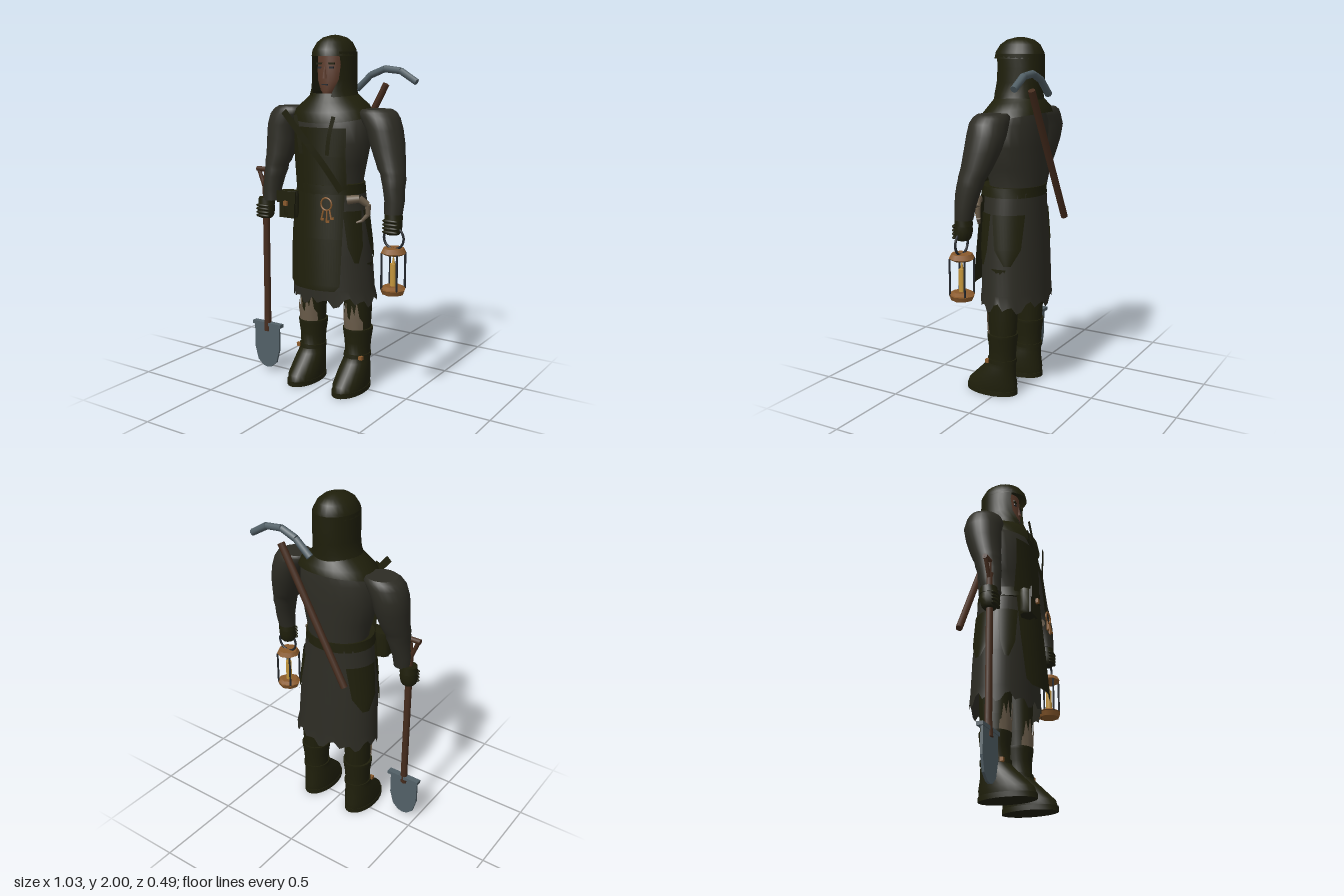
import * as THREE from 'three';

const mat = (name, color, side = THREE.FrontSide) => {
  const m = new THREE.MeshStandardMaterial({ color, side });
  m.name = name;
  return m;
};

// Stacks elliptical rings [y, cx, cz, rx, rz, startAngle, endAngle] from bottom to top.
// Angle 0 is the front; rings without angles are closed. jag(ring, j) shifts a vertex in y.
function loft(rings, { n = 24, cap = true, jag = () => 0, tilt = () => 0 } = {}) {
  const open = rings[0].length > 5, cols = open ? n + 1 : n, pos = [], idx = [];
  rings.forEach(([y, cx, cz, rx, rz, s = 0, e = Math.PI * 2], i) => {
    for (let j = 0; j < cols; j++) {
      const t = s + (e - s) * j / n;
      pos.push(cx + rx * Math.sin(t), y + jag(i, j) + tilt(i) * Math.cos(t), cz + rz * Math.cos(t));
    }
  });
  for (let i = 0; i < rings.length - 1; i++) for (let j = 0; j < n; j++) {
    const k = (j + 1) % cols, a = i * cols + j, b = i * cols + k;
    idx.push(a, b, a + cols, b, b + cols, a + cols);
  }
  if (cap && !open) for (const top of [false, true]) {
    const i = top ? rings.length - 1 : 0, base = pos.length / 3;
    for (let j = 0; j < n; j++) pos.push(...pos.slice((i * n + j) * 3, (i * n + j) * 3 + 3));
    pos.push(rings[i][1], rings[i][0], rings[i][2]);
    for (let j = 0; j < n; j++) {
      const a = base + j, b = base + (j + 1) % n;
      idx.push(base + n, ...(top ? [a, b] : [b, a]));
    }
  }
  return mesh3(pos, idx);
}

function mesh3(pos, idx) {
  const g = new THREE.BufferGeometry();
  g.setAttribute('position', new THREE.Float32BufferAttribute(pos, 3));
  g.setIndex(idx);
  g.computeVertexNormals();
  return g;
}

// Flat strap that follows a few points, widened across the front plane.
function ribbon(points, width) {
  const curve = new THREE.CatmullRomCurve3(points.map(p => new THREE.Vector3(...p)));
  const pos = [], idx = [], n = 10;
  for (let i = 0; i <= n; i++) {
    const p = curve.getPoint(i / n), t = curve.getTangent(i / n);
    const d = new THREE.Vector3(-t.y, t.x, 0).setLength(width / 2);
    pos.push(p.x + d.x, p.y + d.y, p.z, p.x - d.x, p.y - d.y, p.z);
    if (i < n) idx.push(2 * i, 2 * i + 1, 2 * i + 2, 2 * i + 1, 2 * i + 3, 2 * i + 2);
  }
  return mesh3(pos, idx);
}

// Straight round bar between two points.
function bar(a, b, r, sides = 8, r2 = r) {
  const A = new THREE.Vector3(...a), B = new THREE.Vector3(...b), d = B.clone().sub(A);
  const g = new THREE.CylinderGeometry(r2, r, d.length(), sides);
  g.applyQuaternion(new THREE.Quaternion().setFromUnitVectors(new THREE.Vector3(0, 1, 0), d.normalize()));
  return g.translate(...A.add(B).multiplyScalar(0.5).toArray());
}
const box = (w, h, d, x, y, z) => new THREE.BoxGeometry(w, h, d).translate(x, y, z);
const ball = (rx, ry, rz, x, y, z) => new THREE.SphereGeometry(1, 16, 12).scale(rx, ry, rz).translate(x, y, z);

export function createModel() {
  const root = new THREE.Group();
  const D = THREE.DoubleSide;
  const olive = mat('dark olive leather', 0x1f1f0b, D), grey = mat('grey wool', 0x2d2c24, D);
  const wood = mat('wood', 0x462c1d), steel = mat('steel', 0x526067), iron = mat('dark iron', 0x25292e);
  const brass = mat('brass', 0x8a5a2c), skin = mat('skin', 0x5c3b2b);
  const linen = mat('worn linen', 0x6a5c4a, D), wax = mat('candle wax', 0xc4963c);
  const add = (name, geo, m, parent = root) => {
    const mesh = new THREE.Mesh(geo, m);
    mesh.name = name;
    parent.add(mesh);
    return mesh;
  };

  // Tunic body and ragged skirt
  add('torso', loft([[1.1, 0, -.015, .19, .155], [1.2, 0, -.02, .18, .15], [1.3, 0, -.015, .205, .16],
    [1.42, 0, -.01, .235, .163], [1.54, 0, -.02, .23, .155], [1.62, 0, -.03, .17, .13]]), grey);
  const fray = [0, .03, -.02, .015, .04, -.01, .02];
  add('skirt', loft([[.52, .01, -.023, .262, .185], [.6, .005, -.02, .252, .182], [.8, 0, -.015, .243, .178],
    [1.0, 0, -.01, .222, .17], [1.17, 0, -.01, .195, .165]],
  { n: 48, cap: false, jag: (i, j) => i === 0 ? fray[j * 3 % 7] : 0 }), grey);
  add('belt', loft([[1.14, 0, 0, .205, .178], [1.195, 0, 0, .198, .176]]), olive);

  // Apron and straps
  add('apron', loft([[.61, .01, -.02, .27, .235, -.5, .5], [.64, .01, -.02, .27, .235, -.66, .62],
    [.9, 0, -.02, .25, .218, -.75, .72], [1.145, 0, -.01, .215, .187, -.85, .85]]), olive);
  add('apronBib', loft([[1.17, 0, 0, .205, .172, -.95, .95], [1.35, 0, 0, .24, .164, -.78, .78],
    [1.505, 0, 0, .25, .16, -.75, .75]]), olive);
  add('chestStrap', ribbon([[-.18, 1.59, .2], [-.06, 1.45, .19], [.06, 1.32, .185], [.17, 1.17, .165]], .04), olive);
  for (const s of [-1, 1])
    add('bibStrap', ribbon([[s * .085, 1.36, .175], [s * .1, 1.47, .175], [s * .125, 1.57, .17]], .025), olive);

  // Cape collar, hood and head
  add('capeCollar', loft([[1.565, 0, -.015, .235, .19], [1.61, 0, -.015, .215, .18], [1.65, 0, -.02, .165, .15],
    [1.69, 0, -.03, .118, .125]], { n: 32, cap: false, tilt: i => [-.035, -.025, -.015, -.005][i] }), olive);
  const T = Math.PI * 2;
  add('hoodSides', loft([[1.64, 0, -.03, .15, .14, .35, T - .35], [1.7, 0, -.03, .125, .137, .55, T - .55],
    [1.76, 0, -.035, .12, .14, .82, T - .82], [1.84, 0, -.035, .119, .142, .92, T - .92],
    [1.91, 0, -.035, .117, .142, .85, T - .85]]), olive);
  add('hoodTop', loft([[1.885, 0, -.033, .119, .143], [1.92, 0, -.035, .113, .138], [1.96, 0, -.038, .092, .114],
    [1.985, 0, -.04, .062, .078], [1.997, 0, -.04, .025, .03], [2, 0, -.04, .002, .002]], { cap: false }), olive);
  add('neck', bar([0, 1.58, -.02], [0, 1.73, -.02], .06, 14), skin);
  add('face', loft([[1.675, 0, .025, .022, .035], [1.7, 0, .01, .05, .057], [1.75, 0, -.01, .078, .077],
    [1.81, 0, -.02, .087, .086], [1.9, 0, -.025, .085, .085]]), skin);
  add('nose', bar([0, 1.765, .066], [0, 1.83, .062], .015, 6, .005), skin);
  add('mouth', box(.04, .006, .006, 0, 1.732, .064), iron);
  for (const s of [-1, 1]) {
    add('brow', box(.044, .011, .008, s * .037, 1.845, .057), olive);
    add('eye', box(.03, .011, .008, s * .036, 1.824, .057), iron);
  }

  for (const s of [-1, 1]) {
    const side = new THREE.Group();
    side.name = s > 0 ? 'leftLimbs' : 'rightLimbs';
    root.add(side);
    const L = (rings, o, dx = () => 0) => loft(rings.map(([y, x, ...r]) => [y, (x - dx(y)) * s, ...r]), o);

    // Sleeve with folds; the right forearm is carried closer to the body
    const bend = y => s > 0 ? 0 : Math.min(.06, Math.max(0, (1.5 - y) * .22));
    add('sleeve', L([[1.06, .435, .06, .05, .05], [1.13, .436, .05, .054, .058], [1.2, .425, .04, .058, .068],
      [1.24, .418, .03, .066, .073], [1.27, .41, .025, .067, .074], [1.29, .4, .02, .075, .08],
      [1.33, .385, .008, .08, .086], [1.42, .355, -.01, .095, .1], [1.5, .33, -.02, .1, .108],
      [1.56, .303, -.02, .11, .104], [1.59, .285, -.025, .106, .095], [1.605, .28, -.027, .085, .08]], {}, bend), grey, side);

    // Glove with curled fingers
    const hx = s > 0 ? .437 : .415;
    add('gloveCuff', loft([[1.03, hx * s, .06, .05, .05], [1.07, hx * s, .06, .047, .046]]), olive, side);
    add('glove', loft([[.95, hx * s, .066, .035, .035], [.965, hx * s, .066, .046, .046], [1.0, hx * s, .063, .05, .052],
      [1.04, hx * s, .06, .046, .046]], { n: 12 }), olive, side);
    for (let i = 0; i < 4; i++)
      add('finger', ball(.047, .012, .016, s * hx, .965 + i * .02, .1), olive, side);

    // Leg, torn trouser cloth, boot, strap and buckle
    const step = () => s > 0 ? 0 : .031, x = s > 0 ? .17 : .139;
    add('leg', L([[.32, .17, -.02, .07, .078], [.45, .17, -.022, .075, .085], [.75, .16, -.02, .088, .1]], {}, step), olive, side);
    add('tornTrouser', L([[.345, .17, -.02, .076, .086, -1, 1], [.41, .17, -.02, .079, .09, -.95, .95],
      [.48, .17, -.02, .082, .092, -.85, .85]],
    { n: 10, jag: (i, j) => i === 2 ? [-.06, .03, -.03, .05, -.04][j % 5] : 0 }, step), linen, side);
    add('bootSole', L([[0, .17, .05, .087, .16], [.028, .17, .05, .087, .16]], {}, step), olive, side);
    add('boot', L([[.028, .17, .05, .084, .156], [.06, .17, .044, .086, .152], [.12, .17, .018, .083, .117],
      [.165, .17, -.004, .076, .094], [.2, .17, -.018, .07, .078], [.28, .17, -.02, .075, .08],
      [.345, .17, -.02, .085, .088], [.362, .17, -.02, .085, .088]], {}, step), olive, side);
    add('bootStrap', L([[.19, .17, -.016, .077, .086], [.212, .17, -.017, .077, .085]], {}, step), olive, side);
    add('bootBuckle', box(.022, .022, .02, s * (x + .06), .2, .045), brass, side);

    // Pointed leather patches over the hip, behind and in front
    for (const [name, angle, w, low] of [['rearHipPatch', 1.95, .52, .77], ['frontHipPatch', 1.05, .3, .76]]) {
      const m = s * angle;
      add(name, loft([[low, 0, -.015, .253, .188, m - w * .2, m + w * .2],
        [low + .09, 0, -.013, .247, .185, m - w * .75, m + w * .75],
        [1.05, 0, -.01, .222, .174, m - w, m + w]], { n: 10 }), olive, side);
    }
  }

  // Belt pouch
  add('pouch', loft([[1.0, -.16, .175, .05, .035], [1.02, -.16, .178, .058, .042], [1.12, -.16, .178, .058, .042],
    [1.15, -.16, .175, .054, .036]], { n: 8 }), olive);
  add('pouchFront', box(.1, .14, .012, -.155, 1.07, .21), olive);
  add('pouchFlap', box(.125, .065, .009, -.153, 1.118, .222), olive);
  add('pouchClasp', box(.022, .026, .016, -.15, 1.085, .232), brass);

  // Key ring and horn
  add('keyRing', new THREE.TorusGeometry(.034, .005, 6, 20).translate(.1, 1.1, .202), brass);
  for (const [x, y] of [[.07, 1.01], [.105, 1.0], [.135, 1.02]]) {
    add('key', bar([.1 + (x - .1) * .6, 1.07, .202], [x, y, .208], .005, 6), brass);
    add('keyBit', box(.018, .012, .006, x + .008, y + .006, .208), brass);
  }
  const hornPath = [[.185, 1.12, .125], [.245, 1.128, .095], [.283, 1.095, .07], [.282, 1.04, .065], [.252, 1.005, .08], [.228, .995, .1]];
  hornPath.slice(1).forEach((p, i) =>
    add('horn', bar(hornPath[i], p, .025 - i * .004, 10, .021 - i * .004), linen));

  // Shovel held in the right hand
  const shovel = new THREE.Group();
  shovel.name = 'shovel';
  root.add(shovel);
  add('shovelShaft', bar([-.415, .26, .065], [-.415, 1.16, .065], .02), wood, shovel);
  add('shovelGrip', bar([-.478, 1.235, .062], [-.405, 1.235, .062], .015), wood, shovel);
  for (const x of [-.468, -.413])
    add('gripFork', bar([-.425, 1.13, .065], [x, 1.235, .062], .012), wood, shovel);
  const blade = new THREE.Shape([[-.09, .29], [-.09, .14], [-.068, .06], [-.03, .026], [0, .02], [.03, .026],
    [.068, .06], [.09, .14], [.09, .29]].map(p => new THREE.Vector2(...p)));
  add('shovelBlade', new THREE.ExtrudeGeometry(blade, { depth: .014, bevelEnabled: false }).translate(-.415, 0, .064), steel, shovel);
  add('shovelTread', box(.205, .02, .036, -.415, .292, .065), steel, shovel);
  add('shovelSocket', bar([-.415, .25, .072], [-.415, .34, .065], .02), wood, shovel);

  // Lantern hung from the left hand
  const lantern = new THREE.Group();
  lantern.name = 'lantern';
  lantern.position.set(.445, 0, .07);
  root.add(lantern);
  add('lanternRing', new THREE.TorusGeometry(.06, .007, 8, 24).translate(0, .93, 0), iron, lantern);
  for (const [y, h, r1, r2] of [[.632, .026, .06, .07], [.658, .012, .07, .05], [.842, .012, .05, .07], [.862, .024, .07, .058]])
    add('lanternPlate', new THREE.CylinderGeometry(r2, r1, h, 8).translate(0, y + .003, 0), brass, lantern);
  for (let i = 0; i < 4; i++) {
    const a = Math.PI / 4 + i * Math.PI / 2, x = .066 * Math.cos(a), z = .066 * Math.sin(a);
    add('lanternRod', bar([x, .65, z], [x, .85, z], .006, 6), iron, lantern);
  }
  add('candle', bar([0, .65, 0], [0, .79, 0], .018, 10), wax, lantern);
  add('candleFlame', bar([0, .79, 0], [0, .835, 0], .01, 8, .001), wax, lantern);

  // Pickaxe slung across the back
  const pick = new THREE.Group();
  pick.name = 'pickaxe';
  root.add(pick);
  add('pickHandle', bar([-.185, .99, -.226], [.22, 1.73, -.226], .02), wood, pick);
  const headPath = [[.03, 1.7], [.12, 1.78], [.21, 1.815], [.31, 1.805], [.41, 1.745]];
  headPath.slice(1).forEach(([x, y], i) =>
    add('pickHead', bar([...headPath[i], -.228], [x, y, -.228], .02, 8, .019), steel, pick));

  return root;
}
